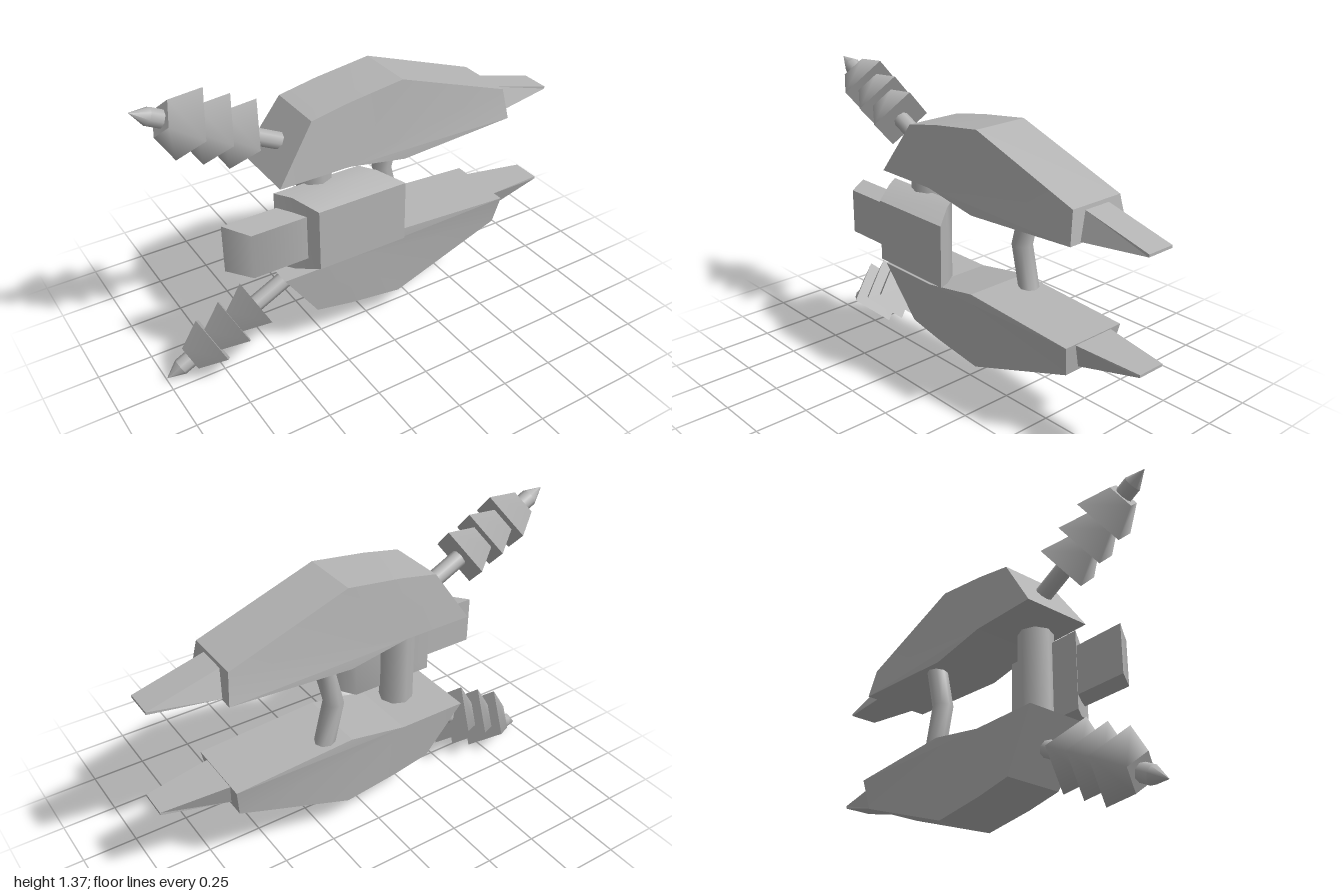
import * as THREE from 'three';
import { toCreasedNormals } from 'three/addons/utils/BufferGeometryUtils.js';

const MID_Y = 0.685;   // mirror plane between the two pods
const MID_Z = -0.055;  // centre plane of the pods

// Skin a list of rings (each anticlockwise seen from the last ring's end) and cap both ends.
function loft(rings, crease = 0.3) {
  const n = rings[0].length, pos = [];
  const tri = (a, b, c) => pos.push(...a, ...b, ...c);
  for (let i = 0; i < rings.length - 1; i++) {
    for (let j = 0; j < n; j++) {
      const k = (j + 1) % n;
      tri(rings[i][j], rings[i][k], rings[i + 1][k]);
      tri(rings[i][j], rings[i + 1][k], rings[i + 1][j]);
    }
  }
  const first = rings[0], last = rings[rings.length - 1];
  for (let j = 1; j < n - 1; j++) {
    tri(first[0], first[j + 1], first[j]);
    tri(last[0], last[j], last[j + 1]);
  }
  const g = new THREE.BufferGeometry();
  g.setAttribute('position', new THREE.Float32BufferAttribute(pos, 3));
  return toCreasedNormals(g, crease);
}

// Upright rectangle facing +z
const rect = (x0, x1, halfY, z) => [
  [x0, MID_Y - halfY, z], [x1, MID_Y - halfY, z],
  [x1, MID_Y + halfY, z], [x0, MID_Y + halfY, z],
];

export function createModel() {
  const model = new THREE.Group();
  model.name = 'twinPodCraft';
  const grey = new THREE.MeshStandardMaterial({ color: 0xb4b4b4 });
  grey.name = 'hull grey';

  const add = (parent, name, geometry) => {
    const mesh = new THREE.Mesh(geometry, grey);
    mesh.name = name;
    parent.add(mesh);
    return mesh;
  };

  // Pod outline: x, height above the mirror plane, half width
  const outline = [
    [-0.15, 0.235, 0.165], [0.13, 0.185, 0.165], [0.70, 0.22, 0.165],
    [0.68, 0.36, 0.137], [0.13, 0.555, 0.137], [-0.13, 0.52, 0.137],
    [-0.31, 0.485, 0.137], [-0.48, 0.235, 0.165],
  ];
  // Nose corners: height, side
  const noseBase = [[0.225, -0.108, 0.69], [0.345, -0.068, 0.675], [0.345, 0.068, 0.675], [0.225, 0.108, 0.69]];
  const noseTip = [[0.247, -0.068, 1], [0.259, -0.068, 1], [0.259, 0.068, 1], [0.247, 0.068, 1]];

  for (const s of [1, -1]) {
    const side = new THREE.Group();
    side.name = s > 0 ? 'upperPod' : 'lowerPod';
    model.add(side);
    const order = (ring) => (s > 0 ? ring : ring.reverse());

    // Pod hull
    const face = (dir) => order(outline.map(([x, h, w]) => [x, MID_Y + s * h, MID_Z + dir * w]));
    if (s < 0) outline.push(outline.shift()); // keep the fan corner first after reversing
    add(side, 'podHull', loft([face(-1), face(1)], 0.15));

    // Tapered nose
    const nose = (pts) => order(pts.map(([h, z, x]) => [x, MID_Y + s * h, MID_Z + z]));
    add(side, 'nose', loft([nose(noseBase), nose(noseTip)]));

    // Spiked tail, built along local +y and tilted outwards
    const tail = new THREE.Group();
    tail.name = 'spikedTail';
    tail.position.set(-0.55, MID_Y + s * 0.435, MID_Z);
    tail.rotation.z = s > 0 ? Math.atan2(0.894, 0.447) : Math.PI - Math.atan2(0.894, 0.447);
    side.add(tail);
    add(tail, 'tailRod', new THREE.CylinderGeometry(0.039, 0.039, 0.64, 8)).position.y = 0.11;
    for (let i = 0; i < 3; i++) {
      add(tail, 'tailBarb', new THREE.CylinderGeometry(0.08, 0.157, 0.125, 4)).position.y = 0.0625 + i * 0.1235;
    }
    add(tail, 'tailPoint', new THREE.ConeGeometry(0.039, 0.077, 8)).position.y = 0.4685;
  }

  // Pillar joining the pods
  add(model, 'pillar', new THREE.CylinderGeometry(0.08, 0.08, 0.5, 8)).position.set(-0.27, MID_Y, 0.01);

  // Bent strut joining the pods
  const strutRing = (x, y) => Array.from({ length: 8 }, (_, i) => {
    const a = -(i * Math.PI) / 4;
    return [x + 0.047 * Math.cos(a), y, -0.15 + 0.048 * Math.sin(a)];
  });
  add(model, 'bentStrut', loft([strutRing(0.23, 0.48), strutRing(0.18, MID_Y), strutRing(0.23, 0.89)], 1));

  // Slanted front housing with a narrowing face, and its side block
  add(model, 'frontHousing', loft([
    rect(-0.48, -0.07, 0.182, 0.045), rect(-0.43, -0.02, 0.18, 0.115), rect(-0.365, 0.06, 0.143, 0.22),
  ], 1));
  add(model, 'sideBlock', loft([rect(-0.727, -0.40, 0.113, 0.053), rect(-0.65, -0.35, 0.105, 0.17)], 1));

  return model;
}
